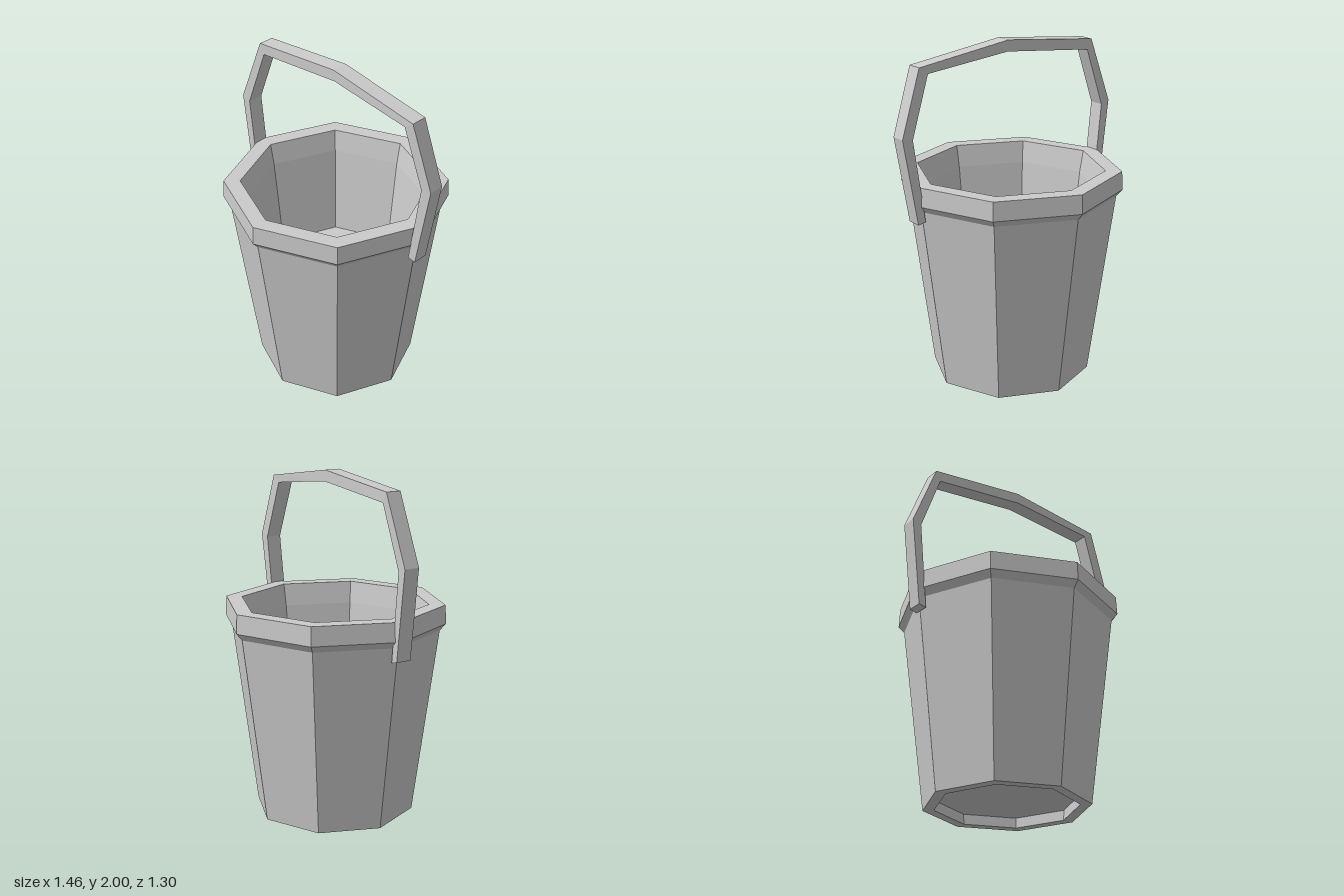
import * as THREE from 'three';

const material = new THREE.MeshStandardMaterial({ color: 0xcccccc, flatShading: true });

// Eight-sided bucket: underside recess, outer wall, flared rim, inner wall, raised floor
function makeBucket() {
  const profile = [
    [0, 0.06], [0.41, 0.06], [0.405, 0], [0.47, 0], [0.615, 1.1], [0.65, 1.14],
    [0.645, 1.25], [0.55, 1.25], [0.525, 1.12], [0.465, 0.58], [0, 0.58],
  ].map(([r, y]) => new THREE.Vector2(r, y));
  const geometry = new THREE.LatheGeometry(profile, 8).toNonIndexed();
  geometry.computeVertexNormals();
  const bucket = new THREE.Mesh(geometry, material);
  bucket.name = 'bucket';
  bucket.position.x = -0.02;
  return bucket;
}

// Hand-bent square bar swept through stations: outer x, y, inner x, y, back z, front z
function makeHandle() {
  const rings = [
    [-0.67, 1.03, -0.625, 1.02, -0.035, 0.058],
    [-0.73, 1.55, -0.675, 1.53, -0.035, 0.058],
    [-0.575, 1.94, -0.545, 1.88, -0.046, 0.046],
    [0.02, 2.0, 0.025, 1.935, -0.035, 0.06],
    [0.6, 1.915, 0.545, 1.875, -0.02, 0.074],
    [0.725, 1.54, 0.66, 1.53, -0.035, 0.056],
    [0.638, 1.04, 0.59, 1.05, -0.035, 0.056],
  ].map(([ox, oy, ix, iy, back, front]) => [
    [ox, oy, front], [ix, iy, front], [ix, iy, back], [ox, oy, back],
  ]);
  const positions = [];
  const quad = (a, b, c, d) => positions.push(...a, ...b, ...c, ...a, ...c, ...d);
  for (let i = 0; i < rings.length - 1; i++) {
    for (let k = 0; k < 4; k++) {
      const n = (k + 1) % 4;
      quad(rings[i][k], rings[i][n], rings[i + 1][n], rings[i + 1][k]);
    }
  }
  // End caps
  const [a, b, c, d] = rings[0];
  quad(a, d, c, b);
  quad(...rings[rings.length - 1]);

  const geometry = new THREE.BufferGeometry();
  geometry.setAttribute('position', new THREE.Float32BufferAttribute(positions, 3));
  geometry.computeVertexNormals();
  const handle = new THREE.Mesh(geometry, material);
  handle.name = 'handle';
  return handle;
}

export function createModel() {
  const model = new THREE.Group();
  model.name = 'handledBucket';
  model.add(makeBucket(), makeHandle());
  return model;
}
